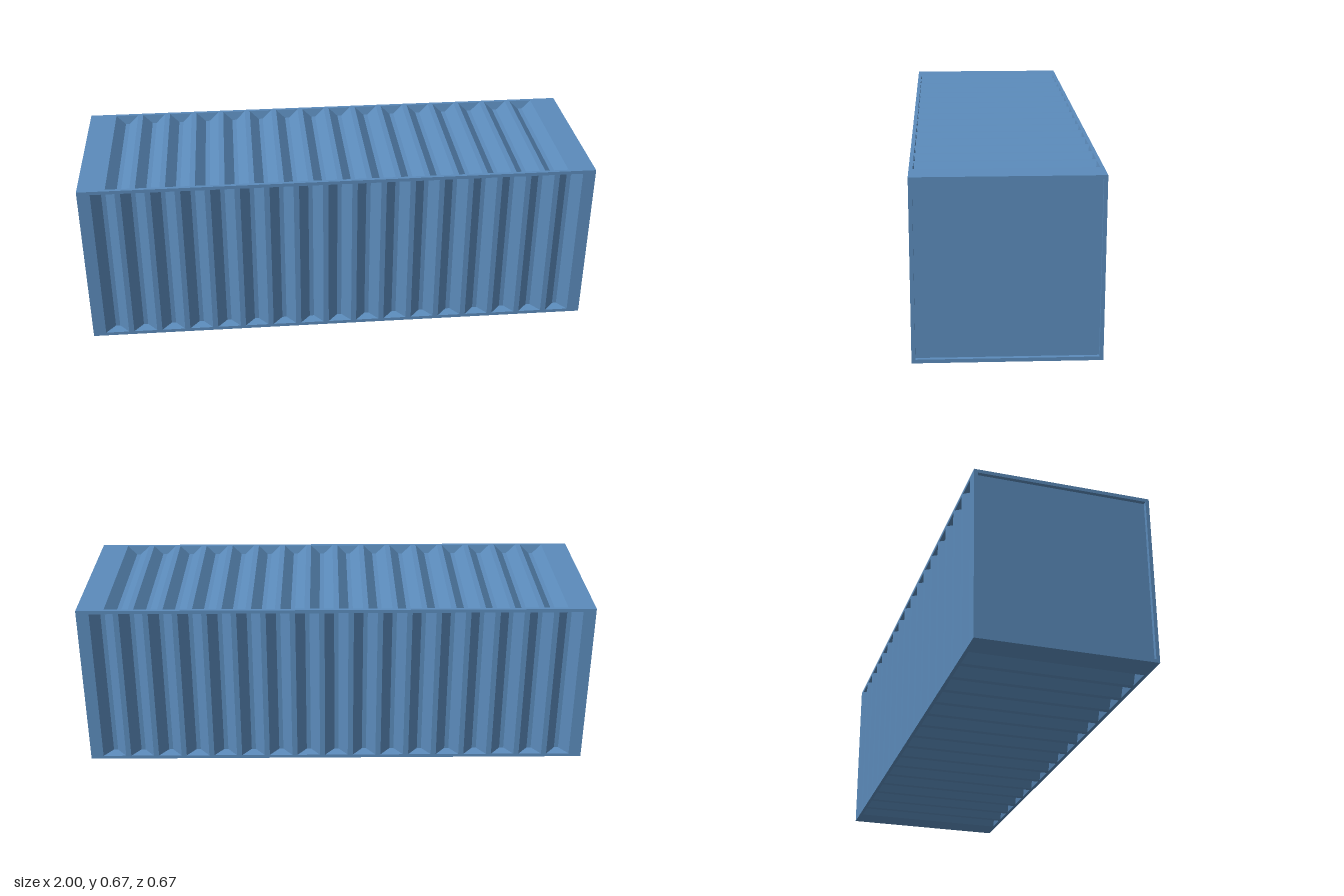
import * as THREE from 'three';
import { mergeGeometries } from 'three/addons/utils/BufferGeometryUtils.js';

const LENGTH = 2, SIDE = 0.667, RIM = 0.0135;
const PITCH = 0.113;

const rect = (cx, hw, hh) => [[cx - hw, -hh], [cx + hw, -hh], [cx + hw, hh], [cx - hw, hh]];

// Walls and floor of one recess sunk behind z = 0, from a mouth to a smaller floor
function recess(mouth, floor, depth) {
  const pos = [];
  const quad = (a, b, c, d) => pos.push(...a, ...b, ...c, ...a, ...c, ...d);
  const top = mouth.map(([x, y]) => [x, y, 0]);
  const low = floor.map(([x, y]) => [x, y, -depth]);
  for (let i = 0; i < 4; i++) {
    const j = (i + 1) % 4;
    quad(top[i], top[j], low[j], low[i]);
  }
  quad(...low);
  const g = new THREE.BufferGeometry();
  g.setAttribute('position', new THREE.Float32BufferAttribute(pos, 3));
  g.computeVertexNormals();
  return g;
}

// Flat sheet facing +z, pierced by recesses
function panel(width, height, recesses) {
  const points = (r) => r.map(([x, y]) => new THREE.Vector2(x, y));
  const shape = new THREE.Shape(points(rect(0, width / 2, height / 2)));
  for (const r of recesses) shape.holes.push(new THREE.Path(points(r.mouth).reverse()));
  const sheet = new THREE.ShapeGeometry(shape).toNonIndexed();
  sheet.deleteAttribute('uv');
  return mergeGeometries([sheet, ...recesses.map((r) => recess(r.mouth, r.floor, r.depth))]);
}

// Long wall with evenly spaced trapezoid grooves
function corrugated(count) {
  const hh = SIDE / 2 - RIM;
  const grooves = [];
  for (let i = 0; i < count; i++) {
    const x = (i - (count - 1) / 2) * PITCH;
    grooves.push({ mouth: rect(x, 0.046, hh), floor: rect(x, 0.0085, hh - 0.008), depth: 0.035 });
  }
  return panel(LENGTH, SIDE, grooves);
}

export function createModel() {
  const group = new THREE.Group();
  const paint = new THREE.MeshStandardMaterial({ color: 0x5b8bbb, side: THREE.DoubleSide });
  const add = (name, geometry, distance, rx, ry) => {
    const mesh = new THREE.Mesh(geometry.clone().translate(0, 0, distance), paint);
    mesh.name = name;
    mesh.rotation.set(rx, ry, 0);
    mesh.position.y = SIDE / 2;
    group.add(mesh);
  };

  // Side walls, with the roof and floor grooves set half a pitch off
  const wall = corrugated(17);
  add('frontWall', wall, SIDE / 2, 0, 0);
  add('backWall', wall, SIDE / 2, 0, Math.PI);
  const deck = corrugated(16);
  add('roof', deck, SIDE / 2, -Math.PI / 2, 0);
  add('floor', deck, SIDE / 2, Math.PI / 2, 0);

  // End panels, slightly sunk inside a thin rim
  const inner = rect(0, SIDE / 2 - RIM, SIDE / 2 - RIM);
  const end = panel(SIDE, SIDE, [{ mouth: inner, floor: inner, depth: 0.015 }]);
  add('leftEnd', end, LENGTH / 2, 0, Math.PI / 2);
  add('rightEnd', end, LENGTH / 2, 0, -Math.PI / 2);
  return group;
}
